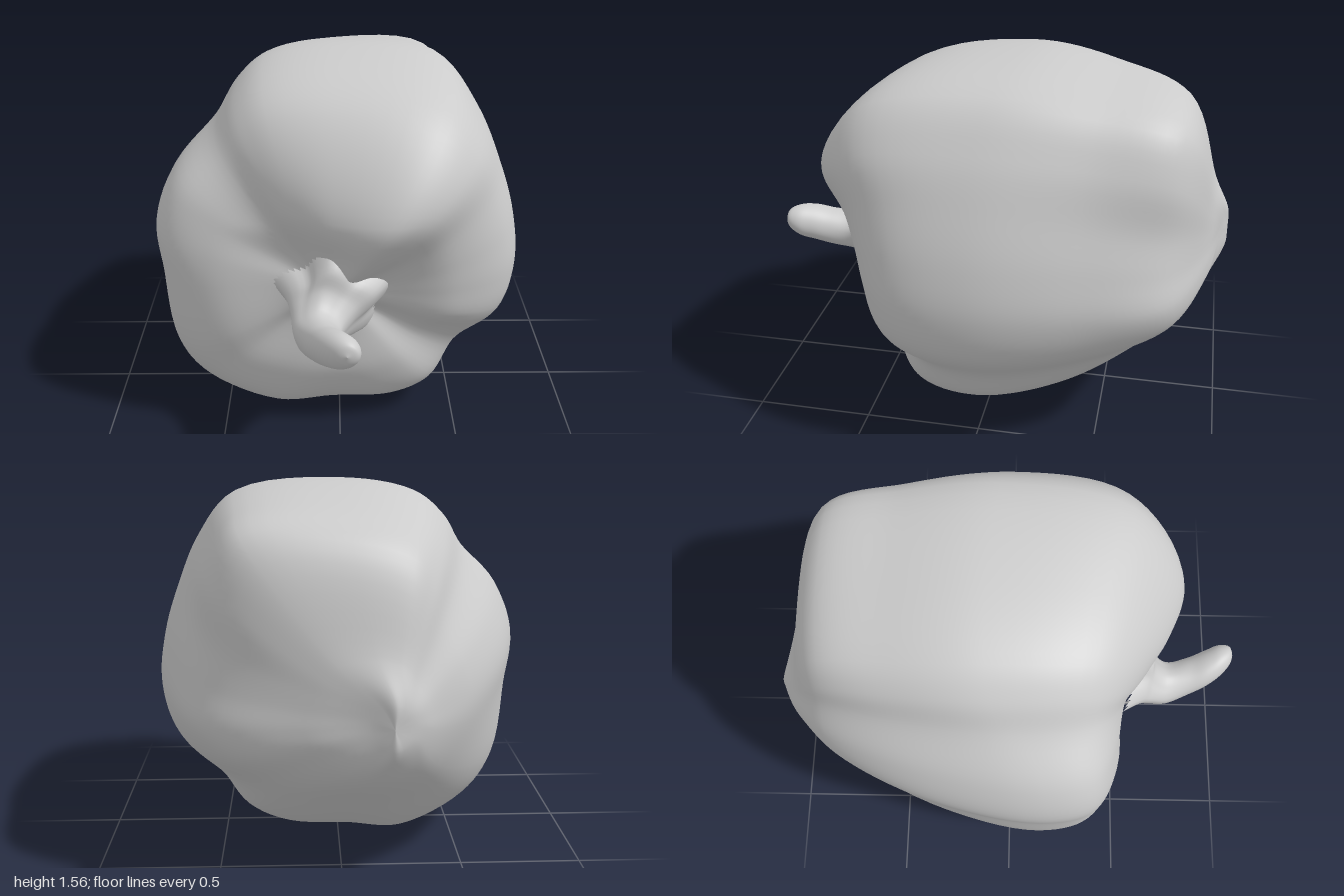
import * as THREE from 'three';

const V = (x, y, z) => new THREE.Vector3(x, y, z);
const spline = (pts, closed) => new THREE.CatmullRomCurve3(pts, closed, 'centripetal');

// Skin a smooth surface over rings of points listed tip first, each counter-clockwise seen from +z
function loft(rings, around, along) {
  const ringCurves = rings.map((pts) => spline(pts, true));
  const position = [];
  const index = [];
  for (let j = 0; j < around; j++) {
    const line = spline(ringCurves.map((c) => c.getPoint(j / around)), false);
    for (let i = 0; i <= along; i++) position.push(...line.getPoint(i / along).toArray());
  }
  const id = (i, j) => (j % around) * (along + 1) + i;
  for (let j = 0; j < around; j++) {
    for (let i = 0; i < along; i++) {
      const a = id(i, j), b = id(i + 1, j), c = id(i + 1, j + 1), d = id(i, j + 1);
      if (i < along - 1) index.push(a, b, c);
      if (i > 0) index.push(a, c, d);
    }
  }
  const geometry = new THREE.BufferGeometry();
  geometry.setAttribute('position', new THREE.Float32BufferAttribute(position, 3));
  geometry.setIndex(index);
  geometry.computeVertexNormals();
  return geometry;
}

// Lobes and valleys around the body:
// angle, widest radius, its z, front shoulder radius, z, back corner radius, z
const SECTORS = [
  [0, 0.80, 0.00, 0.49, 0.50, 0.56, -0.76],
  [15, 0.805, 0.00, 0.49, 0.53, 0.56, -0.75],
  [30, 0.825, 0.00, 0.50, 0.58, 0.58, -0.76],
  [45, 0.88, 0.00, 0.52, 0.68, 0.70, -0.77],
  [60, 0.93, -0.05, 0.44, 0.73, 0.79, -0.78],
  [90, 0.86, -0.10, 0.37, 0.66, 0.69, -0.79],
  [110, 0.86, -0.10, 0.40, 0.58, 0.66, -0.78],
  [120, 0.825, -0.08, 0.42, 0.53, 0.60, -0.77],
  [131, 0.765, 0.00, 0.40, 0.48, 0.51, -0.77],
  [149, 0.78, 0.10, 0.50, 0.45, 0.48, -0.77],
  [165, 0.775, 0.12, 0.50, 0.46, 0.47, -0.75],
  [180, 0.73, 0.13, 0.50, 0.46, 0.44, -0.75],
  [207, 0.775, 0.12, 0.50, 0.45, 0.41, -0.74],
  [223, 0.785, 0.10, 0.52, 0.42, 0.40, -0.72],
  [249, 0.745, 0.05, 0.45, 0.43, 0.36, -0.72],
  [270, 0.675, 0.03, 0.43, 0.43, 0.33, -0.72],
  [293, 0.72, 0.03, 0.45, 0.43, 0.35, -0.71],
  [308, 0.735, 0.03, 0.46, 0.42, 0.38, -0.71],
  [325, 0.69, 0.00, 0.42, 0.39, 0.41, -0.73],
  [345, 0.775, 0.00, 0.50, 0.47, 0.49, -0.77],
];

function bodyGeometry() {
  const { lerp, degToRad } = THREE.MathUtils;
  const rings = Array.from({ length: 10 }, () => []);
  for (const [deg, R, zw, rs, zs, rb, zb] of SECTORS) {
    const a = degToRad(deg);
    // Profile from the stem hollow, over the shoulder and belly, to the blunt back: radius, z, drift
    const profile = [
      [0, 0.53, 0],
      [0.18, lerp(0.50, zs, 0.6), 0],
      [rs, zs, 0],
      [lerp(rs, R, 0.78), lerp(zw, zs, 0.69), 0],
      [R, zw, 0],
      [lerp(rb, R, 0.67), lerp(zw, zb, 0.55), 0],
      [rb, zb, 0],
      [lerp(rb * 0.5, 0.23, 0.55), lerp(zb, -0.99, 0.67), 0.5],
      [0.09, -0.99 + 0.03 * Math.abs(Math.cos(a)), 1],
      [0, -0.995, 1],
    ];
    profile.forEach(([r, z, d], i) => {
      rings[i].push(V(-0.03 - 0.14 * d + r * Math.cos(a), 0.70 + 0.05 * d + r * Math.sin(a), z));
    });
  }
  return loft(rings, 120, 72);
}

// Curved stem flaring into a five-pointed base: x, y, z, radius, point depth, backward lean
const STEM = [
  [0.02, 0.70, 1.00, 0, 0, 0],
  [0.02, 0.70, 0.985, 0.042, 0, 0],
  [0.00, 0.685, 0.94, 0.072, 0, 0],
  [-0.03, 0.665, 0.88, 0.082, 0, 0],
  [-0.06, 0.635, 0.80, 0.085, 0, 0],
  [-0.09, 0.62, 0.70, 0.095, 0.03, 0],
  [-0.07, 0.645, 0.62, 0.125, 0.06, 0.15],
  [-0.04, 0.67, 0.56, 0.165, 0.12, 0.35],
  [-0.03, 0.68, 0.46, 0.22, 0.15, 0.4],
];

function stemGeometry() {
  const rings = STEM.map(([x, y, z, radius, depth, lean]) =>
    Array.from({ length: 20 }, (_, k) => {
      const a = (k / 20) * Math.PI * 2;
      const r = radius * (1 + depth * Math.cos(5 * (a - 0.3)));
      return V(x + r * Math.cos(a), y + r * Math.sin(a), z + lean * r * Math.sin(a));
    }));
  return loft(rings, 60, 40);
}

export function createModel() {
  const group = new THREE.Group();
  group.name = 'bellPepper';
  const material = new THREE.MeshStandardMaterial({ color: 0xcccccc });
  for (const [name, geometry] of [['body', bodyGeometry()], ['stem', stemGeometry()]]) {
    const mesh = new THREE.Mesh(geometry, material);
    mesh.name = name;
    group.add(mesh);
  }
  return group;
}
